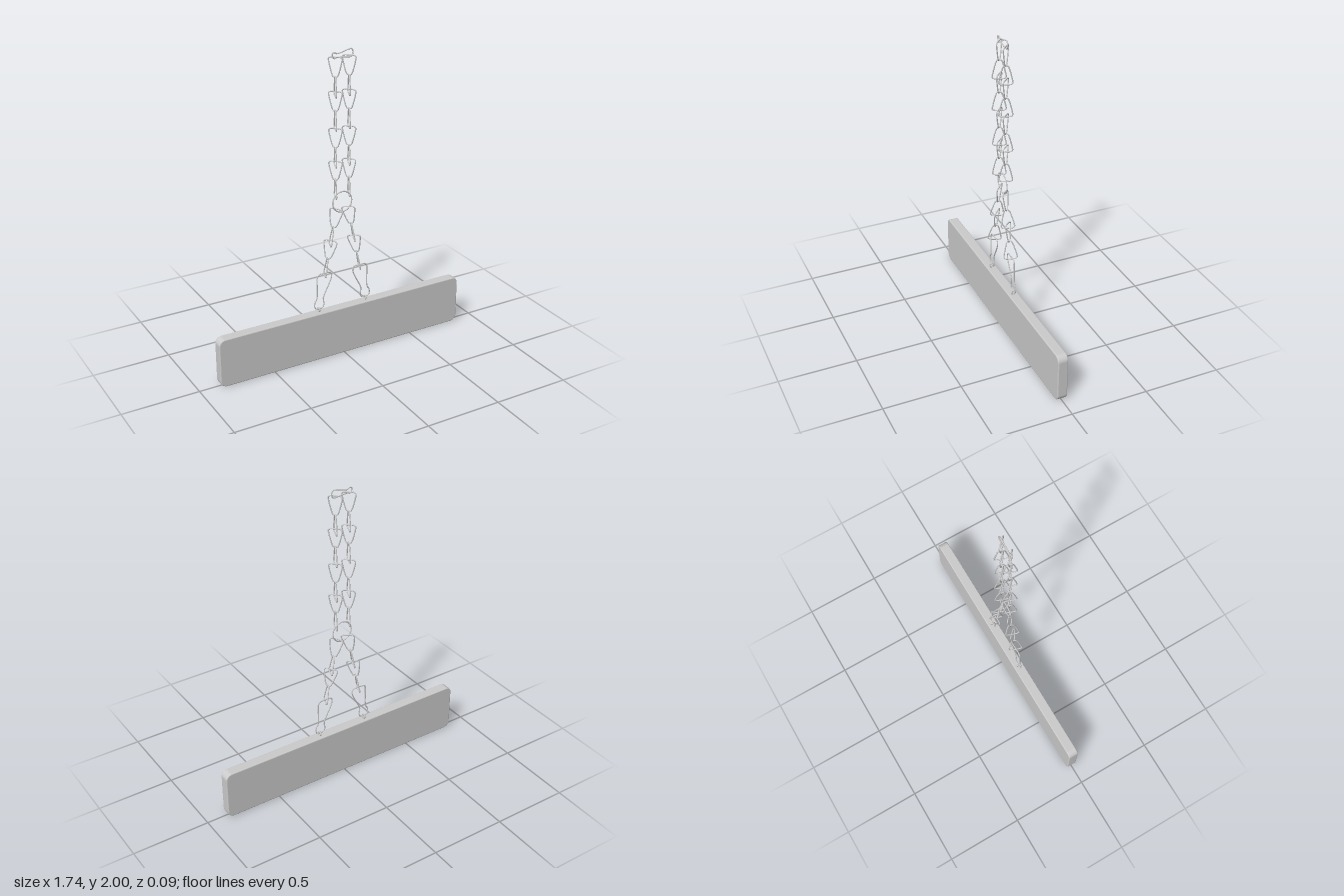
import * as THREE from 'three';

const material = new THREE.MeshStandardMaterial({ color: 0xcccccc });
const WIRE = 0.004;

function add(parent, name, geometry) {
  const mesh = new THREE.Mesh(geometry, material);
  mesh.name = name;
  parent.add(mesh);
  return mesh;
}

// Closed loop of bent wire lying in the xy plane
function wireLoop(points, segments) {
  const curve = new THREE.CatmullRomCurve3(
    points.map(([x, y]) => new THREE.Vector3(x, y, 0)), true, 'centripetal');
  return new THREE.TubeGeometry(curve, segments, WIRE, 8, true);
}

// Tapered link, wide end up, centred on its own origin
const linkGeometry = wireLoop([
  [-0.032, 0.058], [0, 0.06], [0.032, 0.058], [0.041, 0.05], [0.040, 0.036],
  [0.018, -0.048], [0.011, -0.058], [-0.011, -0.058], [-0.018, -0.048],
  [-0.040, 0.036], [-0.041, 0.05],
], 72);

// Links alternate between two planes and between wide end up and down
function chain(name, ranges, xAt, tilt) {
  const group = new THREE.Group();
  group.name = name;
  ranges.forEach(([top, bottom], i) => {
    const y = (top + bottom) / 2;
    const holder = new THREE.Group();
    holder.name = 'link';
    holder.position.set(xAt(y), y, 0);
    holder.rotation.z = tilt;
    const link = add(holder, 'linkWire', linkGeometry);
    if (i % 2) {
      link.rotation.y = THREE.MathUtils.degToRad(-110);
      link.scale.y = -1;
    } else {
      link.rotation.y = THREE.MathUtils.degToRad(-45);
    }
    group.add(holder);
  });
  return group;
}

export function createModel() {
  const model = new THREE.Group();
  model.name = 'hangingBar';

  // Flat bar with rounded corners and a fine bevel
  const bevel = 0.006, w = 0.87 - bevel, lo = bevel, hi = 0.325 - bevel, r = 0.036;
  const outline = new THREE.Shape();
  outline.moveTo(-w + r, lo);
  outline.lineTo(w - r, lo);
  outline.absarc(w - r, lo + r, r, -Math.PI / 2, 0, false);
  outline.absarc(w - r, hi - r, r, 0, Math.PI / 2, false);
  outline.absarc(-w + r, hi - r, r, Math.PI / 2, Math.PI, false);
  outline.absarc(-w + r, lo + r, r, Math.PI, Math.PI * 1.5, false);
  const bar = new THREE.ExtrudeGeometry(outline, {
    depth: 0.066 - 2 * bevel, bevelEnabled: true, bevelSize: bevel,
    bevelThickness: bevel, bevelSegments: 2, curveSegments: 8,
  });
  bar.translate(0, 0, -0.033 + bevel);
  add(model, 'bar', bar);

  // Ring joining the upper and lower chains
  add(model, 'centreRing', new THREE.TorusGeometry(0.067, WIRE, 8, 48)).position.y = 1.042;

  // Top connector joining the two upper chains
  add(model, 'topConnector', wireLoop([
    [-0.066, 1.968], [-0.064, 1.984], [-0.05, 1.986], [-0.035, 1.978],
    [0.04, 1.994], [0.06, 1.996], [0.071, 1.984], [0.07, 1.962],
    [0.06, 1.949], [0.04, 1.949], [-0.035, 1.956], [-0.055, 1.951],
  ], 90));

  const upper = [[1.963, 1.836], [1.842, 1.718], [1.753, 1.63], [1.637, 1.513],
    [1.526, 1.4], [1.403, 1.28], [1.317, 1.192], [1.2, 1.078]];
  const lower = [[1.005, 0.88], [0.886, 0.767], [0.802, 0.677], [0.684, 0.566]];

  for (const side of [-1, 1]) {
    const label = side > 0 ? 'left' : 'right';
    model.add(chain(label + 'UpperChain', upper, () => side * 0.047, 0));
    model.add(chain(label + 'LowerChain', lower,
      (y) => side * (0.04 + 0.2 * (1.0 - y)), side * 0.19));

    // Long clip with a wide top and a bulb at the foot
    add(model, label + 'Clip', wireLoop([
      [0.088, 0.582], [0.125, 0.584], [0.165, 0.582], [0.178, 0.568], [0.18, 0.54],
      [0.183, 0.42], [0.197, 0.395], [0.2, 0.37], [0.192, 0.352], [0.168, 0.347],
      [0.143, 0.351], [0.133, 0.37], [0.136, 0.4], [0.136, 0.42], [0.08, 0.54],
      [0.077, 0.568],
    ].map(([x, y]) => [side * x, y]), 100));

    // Eyelet set into the top of the bar
    const eyelet = add(model, label + 'Eyelet', new THREE.TorusGeometry(0.013, WIRE, 8, 24));
    eyelet.rotation.y = Math.PI / 2;
    eyelet.position.set(side * 0.17, 0.341, 0);
  }
  return model;
}
